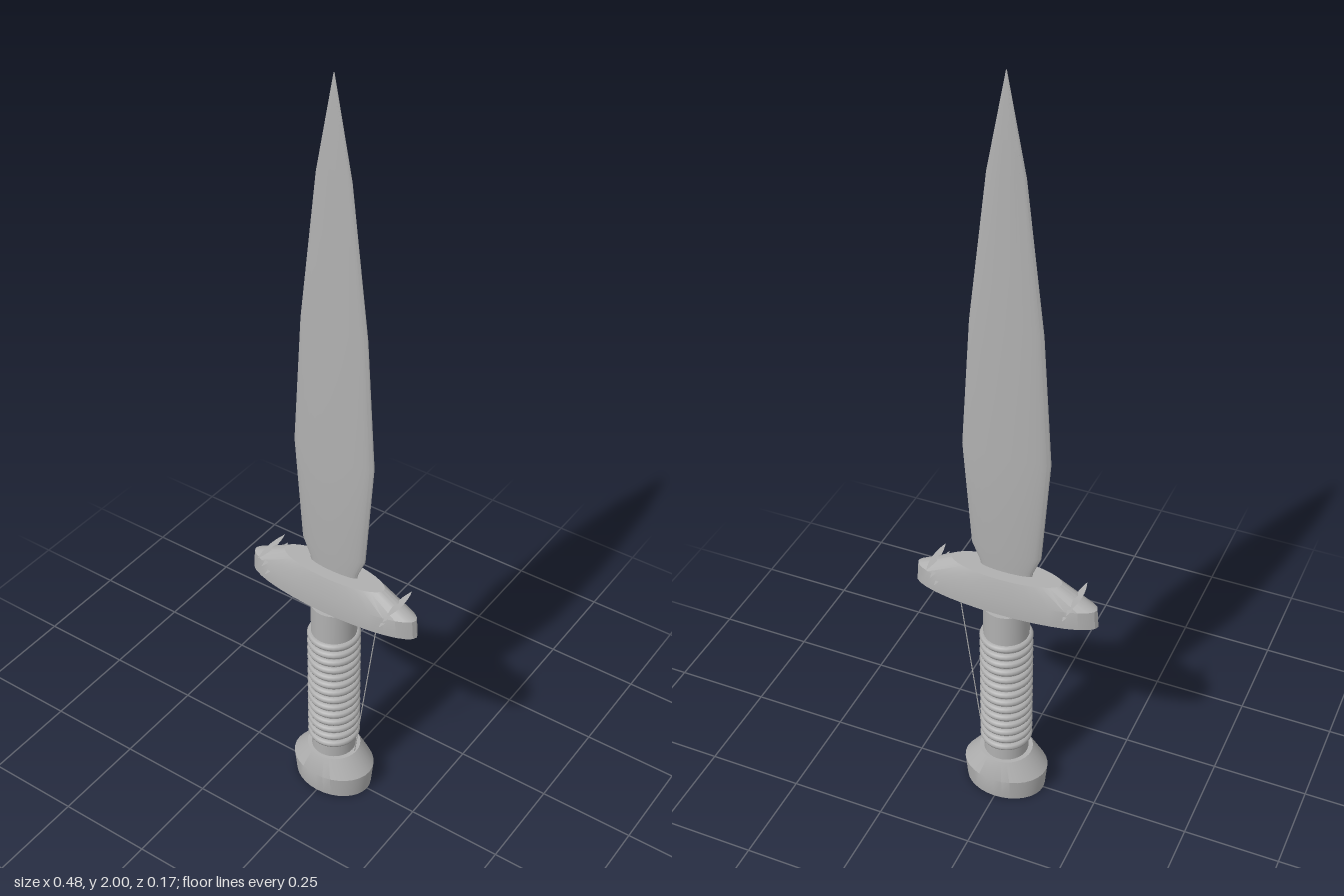
import * as THREE from 'three';
import { toCreasedNormals } from 'three/addons/utils/BufferGeometryUtils.js';

const steel = new THREE.MeshStandardMaterial({ color: 0xb0b0b0, side: THREE.DoubleSide });
steel.name = 'grey steel';

// Closed solid through stacked ellipses, each given as [y, halfWidth, halfDepth]
function loft(sections, segments, crease) {
  const points = [], index = [];
  const first = sections[0], last = sections[sections.length - 1];
  const rows = [[first[0], 0, 0], ...sections, [last[0], 0, 0]];
  for (const [y, rx, rz] of rows) {
    for (let i = 0; i < segments; i++) {
      const a = (i / segments) * Math.PI * 2;
      points.push(rx * Math.cos(a), y, rz * Math.sin(a));
    }
  }
  for (let r = 0; r < rows.length - 1; r++) {
    for (let i = 0; i < segments; i++) {
      const j = (i + 1) % segments;
      const a = r * segments + i, b = r * segments + j;
      const c = a + segments, d = b + segments;
      if (r > 0) index.push(a, c, b);
      if (r < rows.length - 2) index.push(b, c, d);
      if (r === 0) index.push(a, c, d);
    }
  }
  const geometry = new THREE.BufferGeometry();
  geometry.setAttribute('position', new THREE.Float32BufferAttribute(points, 3));
  geometry.setIndex(index);
  return toCreasedNormals(geometry, crease);
}

export function createModel() {
  const group = new THREE.Group();
  group.name = 'dagger';
  const add = (name, geometry) => {
    const mesh = new THREE.Mesh(geometry, steel);
    mesh.name = name;
    group.add(mesh);
    return mesh;
  };

  // Leaf-shaped blade with a narrow neck
  add('blade', loft([
    [0.7, 0.066, 0.012], [0.725, 0.07, 0.013], [0.775, 0.091, 0.017],
    [1.06, 0.112, 0.019], [1.4, 0.09, 0.015], [1.77, 0.046, 0.008], [2, 0.001, 0.001],
  ], 32, 0.6));

  // Oval crossguard with a bevelled top
  add('crossguard', loft([
    [0.613, 0.242, 0.055], [0.665, 0.238, 0.055], [0.714, 0.145, 0.043],
  ], 32, 0.5));

  // Grip and its wound rings
  add('grip', loft([[0.11, 0.058, 0.058], [0.605, 0.058, 0.058]], 32, 0.6));
  for (let i = 0; i < 14; i++) {
    const ring = add('gripRing', new THREE.TorusGeometry(0.058, 0.01, 8, 32));
    ring.rotation.x = Math.PI / 2;
    ring.position.y = 0.167 + i * 0.026;
  }

  // Oval pommel, flared then tapering to the grip
  add('pommel', loft([
    [0, 0.106, 0.08], [0.065, 0.112, 0.087], [0.118, 0.07, 0.068],
  ], 32, 0.5));

  // Flat pointed slivers across both ends of the crossguard
  const leaf = new THREE.Shape();
  leaf.moveTo(0, -0.057);
  leaf.quadraticCurveTo(0.018, 0, 0, 0.057);
  leaf.quadraticCurveTo(-0.018, 0, 0, -0.057);
  const leafGeometry = new THREE.ShapeGeometry(leaf, 8);
  for (const side of [-1, 1]) {
    for (let i = 0; i < 3; i++) {
      const sliver = add('guardSliver', leafGeometry);
      sliver.rotation.x = -Math.PI / 2;
      sliver.position.set(side * (0.169 + i * 0.01), 0.65 + i * 0.021, 0);
    }
  }

  // Fine cord from the guard down to the pommel
  const cord = new THREE.LineCurve3(
    new THREE.Vector3(0.13, 0.615, 0), new THREE.Vector3(0.065, 0.115, 0));
  add('cord', new THREE.TubeGeometry(cord, 1, 0.0015, 5));

  return group;
}
